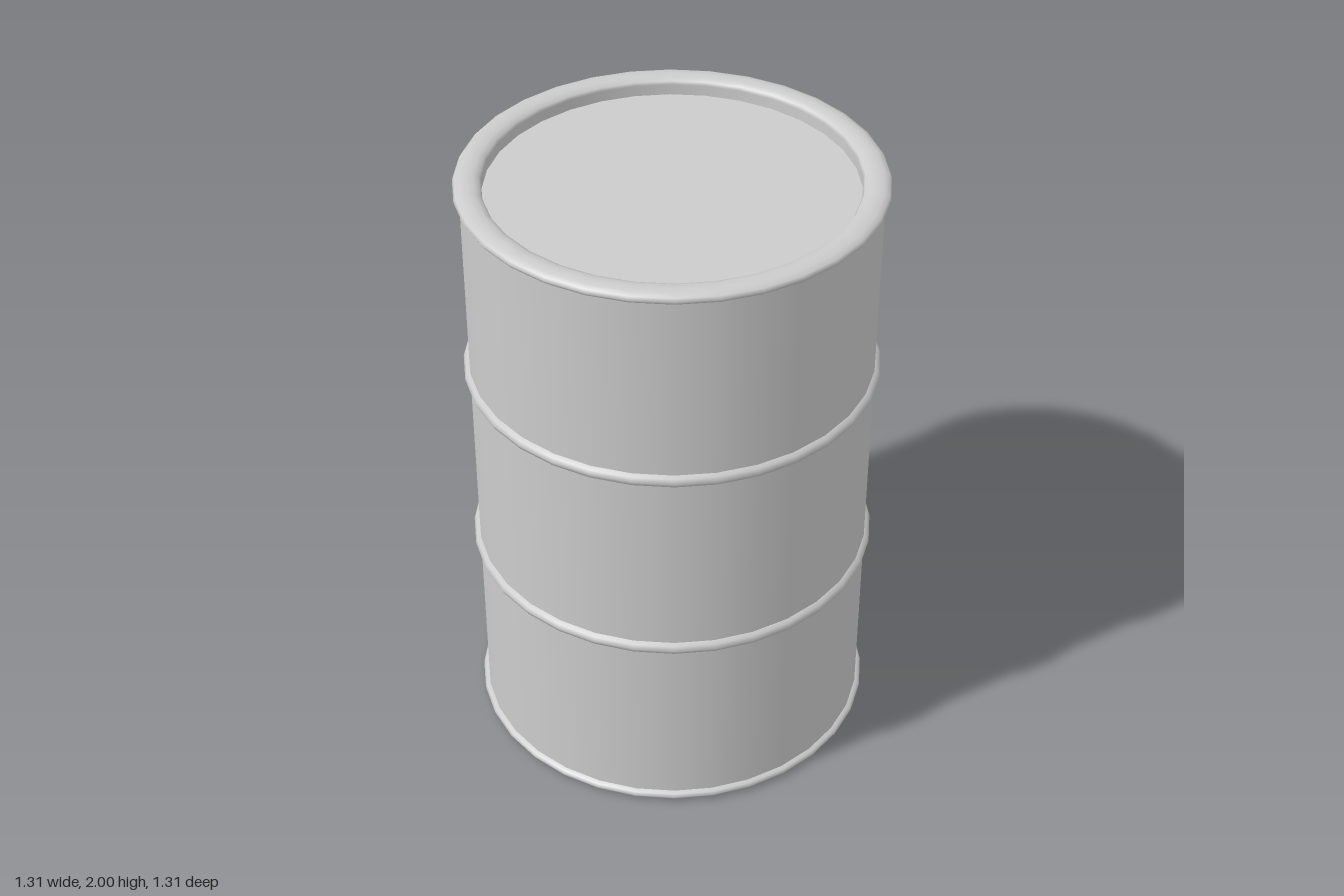
import * as THREE from 'three';

const SIDES = 32;
const BODY_R = 0.64;
const RING_R = 0.614;   // centre radius of every ring
const RING_W = 0.043;   // radial half-width of a ring
const INNER_R = RING_R - RING_W;
const RECESS = 0.055;   // depth of each lid below the rim

export function createModel() {
  const group = new THREE.Group();
  const material = new THREE.MeshStandardMaterial({ color: 0xcccccc });
  const thin = new THREE.MeshStandardMaterial({ color: 0xcccccc, side: THREE.DoubleSide });

  const add = (name, geometry, y, mat = material) => {
    const mesh = new THREE.Mesh(geometry, mat);
    mesh.name = name;
    mesh.position.y = y;
    group.add(mesh);
    return mesh;
  };

  // Ring with a flattened round section, lying around the drum
  const ring = (name, y, halfHeight) => {
    const geometry = new THREE.TorusGeometry(RING_R, RING_W, 12, SIDES);
    geometry.rotateX(-Math.PI / 2);
    geometry.scale(1, halfHeight / RING_W, 1);
    add(name, geometry, y);
  };

  // Drum wall; the quarter turn puts a corner on the x axis
  add('drumWall', new THREE.CylinderGeometry(BODY_R, BODY_R, 1.96, SIDES, 1, true), 1, thin);

  // Rolling ribs
  ring('lowerRib', 0.67, 0.028);
  ring('upperRib', 1.335, 0.028);

  // Rims, with a recessed lid inside each
  for (const [end, top] of [['bottom', false], ['top', true]]) {
    const place = (d) => (top ? 2 - d : d);
    ring(end + 'Rim', place(0.02), 0.02);

    const wallHeight = RECESS - 0.02;
    add(end + 'RimInnerWall',
      new THREE.CylinderGeometry(INNER_R, INNER_R, wallHeight, SIDES, 1, true),
      place(0.02 + wallHeight / 2), thin);

    const lid = new THREE.CircleGeometry(INNER_R, SIDES);
    lid.rotateX(top ? -Math.PI / 2 : Math.PI / 2);
    add(end + 'Lid', lid, place(RECESS));
  }

  return group;
}
